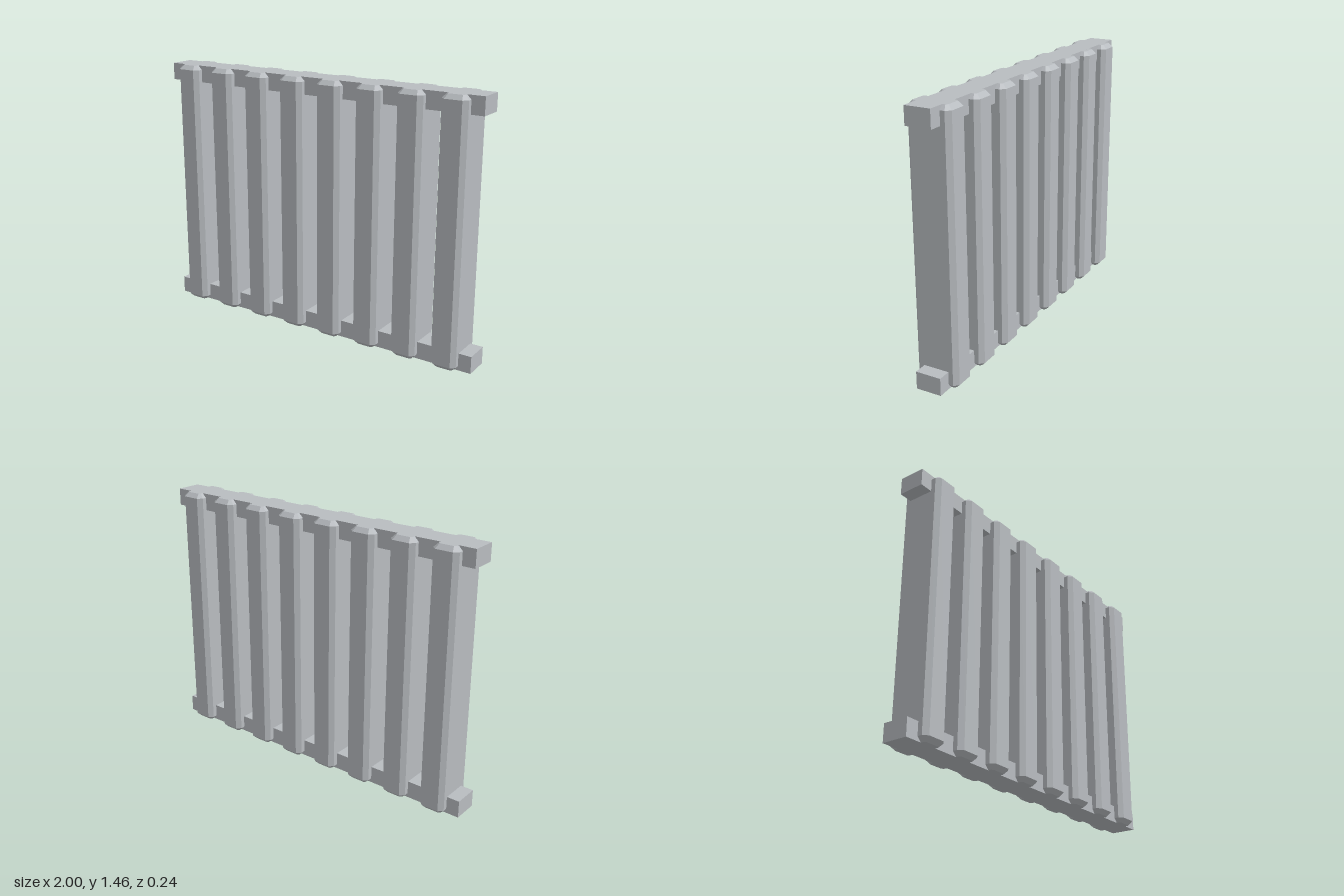
import * as THREE from 'three';

const HEIGHT = 1.463;
const FIN_COUNT = 8;
const FIN_SPACING = 0.244;
const CHAMFER = 0.024;

// Upright column: rectangle with cut corners, bevelled inward at both ends
function finGeometry(halfX, halfZ) {
  const c = CHAMFER;
  const outline = new THREE.Shape([
    [-halfX + c, -halfZ], [halfX - c, -halfZ],
    [halfX, -halfZ + c], [halfX, halfZ - c],
    [halfX - c, halfZ], [-halfX + c, halfZ],
    [-halfX, halfZ - c], [-halfX, -halfZ + c],
  ].map(([x, y]) => new THREE.Vector2(x, y)));
  const geometry = new THREE.ExtrudeGeometry(outline, {
    depth: HEIGHT - 2 * c,
    bevelEnabled: true,
    bevelSegments: 1,
    bevelThickness: c,
    bevelSize: c,
    bevelOffset: -c,
  });
  geometry.rotateX(-Math.PI / 2);
  geometry.translate(0, c, 0);
  return geometry;
}

export function createModel() {
  const model = new THREE.Group();
  model.name = 'radiator';

  const paintedMetal = new THREE.MeshStandardMaterial({ color: 0xb8bcc0 });
  paintedMetal.name = 'grey painted metal';
  paintedMetal.flatShading = true;

  // Row of heating columns
  const columns = new THREE.Group();
  columns.name = 'columns';
  const finShape = finGeometry(0.073, 0.122);
  for (let i = 0; i < FIN_COUNT; i++) {
    const column = new THREE.Mesh(finShape, paintedMetal);
    column.name = `column${i + 1}`;
    column.position.x = (i - (FIN_COUNT - 1) / 2) * FIN_SPACING;
    columns.add(column);
  }
  model.add(columns);

  // Pipes joining the columns at the top and bottom
  const railHeight = 0.097;
  const railShape = new THREE.BoxGeometry(2, railHeight, 0.144);
  for (const [name, y] of [
    ['bottomRail', railHeight / 2],
    ['topRail', HEIGHT - railHeight / 2],
  ]) {
    const rail = new THREE.Mesh(railShape, paintedMetal);
    rail.name = name;
    rail.position.y = y;
    model.add(rail);
  }

  return model;
}
